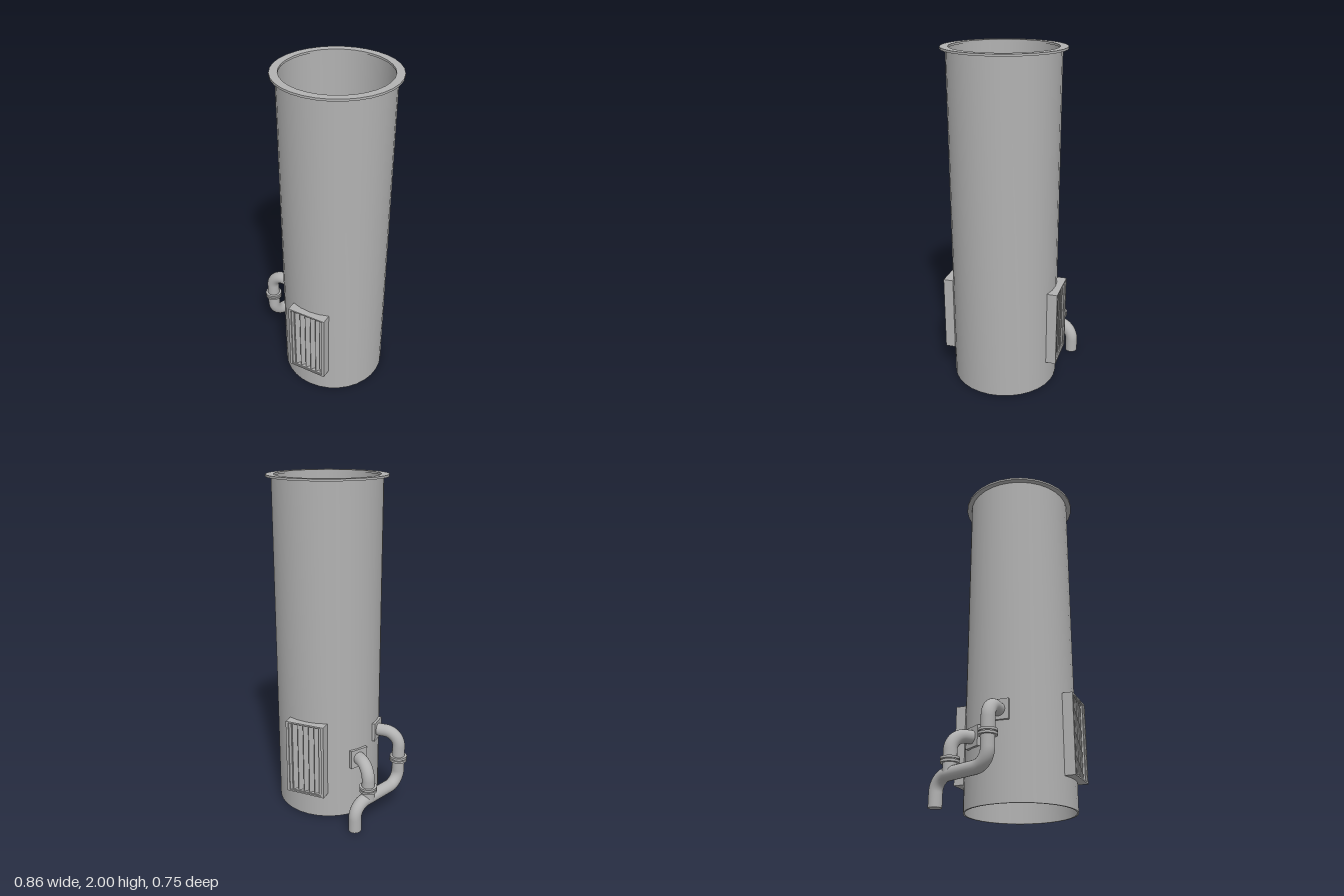
import * as THREE from 'three';
import { toCreasedNormals } from 'three/addons/utils/BufferGeometryUtils.js';

const CX = 0.085, CZ = 0.021; // axis of the column
const PIPE_R = 0.038;

export function createModel() {
  const root = new THREE.Group();
  root.name = 'ventilationColumn';
  const metal = new THREE.MeshStandardMaterial({ color: 0xb2b2b2 });
  metal.name = 'grey metal';

  const add = (parent, geometry, name, x = 0, y = 0, z = 0) => {
    const mesh = new THREE.Mesh(geometry, metal);
    mesh.name = name;
    mesh.position.set(x, y, z);
    parent.add(mesh);
    return mesh;
  };

  // Hollow ring with rectangular section
  const ring = (rIn, rOut, h, sides) => {
    const pts = [[rIn, 0], [rOut, 0], [rOut, h], [rIn, h], [rIn, 0]];
    const g = new THREE.LatheGeometry(pts.map(p => new THREE.Vector2(...p)), sides);
    return toCreasedNormals(g, 0.6);
  };

  // Rectangular frame, front face at z = depth
  const frame = (w, h, holeW, holeH, depth) => {
    const rect = (path, a, b) => {
      path.moveTo(-a / 2, -b / 2);
      path.lineTo(a / 2, -b / 2);
      path.lineTo(a / 2, b / 2);
      path.lineTo(-a / 2, b / 2);
      path.closePath();
      return path;
    };
    const shape = rect(new THREE.Shape(), w, h);
    shape.holes.push(rect(new THREE.Path(), holeW, holeH));
    return new THREE.ExtrudeGeometry(shape, { depth, bevelEnabled: false });
  };

  // Tube through the given points with circular bends
  const pipe = (points, bend) => {
    const pts = points.map(p => new THREE.Vector3(...p));
    const path = new THREE.CurvePath();
    let last = pts[0];
    for (let i = 1; i < pts.length - 1; i++) {
      const c = pts[i];
      const toward = (p, d) => c.clone().addScaledVector(p.clone().sub(c).normalize(), d);
      const a = toward(pts[i - 1], bend), b = toward(pts[i + 1], bend);
      path.add(new THREE.LineCurve3(last, a));
      path.add(new THREE.CubicBezierCurve3(a, toward(pts[i - 1], bend * 0.45), toward(pts[i + 1], bend * 0.45), b));
      last = b;
    }
    path.add(new THREE.LineCurve3(last, pts[pts.length - 1]));
    return new THREE.TubeGeometry(path, 110, PIPE_R, 20, false);
  };

  // Column wall and top rim
  add(root, ring(0.306, 0.315, 1.99, 32), 'columnWall', CX, 0, CZ);
  add(root, ring(0.3, 0.345, 0.012, 32), 'topRim', CX, 1.988, CZ);

  // Louvred vents, front and back
  for (const [name, turn] of [['frontVent', 0], ['backVent', Math.PI]]) {
    const vent = new THREE.Group();
    vent.name = name;
    vent.position.set(CX, 0.389, CZ);
    vent.rotation.y = turn;
    add(vent, frame(0.24, 0.46, 0.208, 0.442, 0.06), 'ventOuterFrame', 0, 0, 0.293);
    add(vent, frame(0.21, 0.444, 0.175, 0.434, 0.052), 'ventInnerFrame', 0, 0, 0.294);
    add(vent, new THREE.BoxGeometry(0.21, 0.444, 0.008), 'ventBackPlate', 0, 0, 0.297);
    for (let i = 0; i < 5; i++) {
      const slat = add(vent, new THREE.BoxGeometry(0.043, 0.434, 0.006), 'ventSlat', (i - 2) * 0.035, 0, 0.325);
      slat.rotation.y = 0.87;
    }
    root.add(vent);
  }

  // Long pipe: out of the wall, down, along the column, down to the ground
  const A = [-0.377, 0.021], end = [-0.236, -0.335];
  add(root, pipe([
    [-0.226, 0.495, A[1]], [A[0], 0.495, A[1]], [A[0], 0.165, A[1]],
    [end[0], 0.165, end[1]], [end[0], 0, end[1]],
  ], 0.085), 'longPipe');
  const cap = add(root, new THREE.CircleGeometry(PIPE_R, 20), 'pipeEnd', end[0], 0, end[1]);
  cap.rotation.x = Math.PI / 2;

  // Branch pipe: out of the wall and down into the long pipe
  const B = [-0.279, -0.237], wallB = [-0.178, -0.148];
  add(root, pipe([
    [wallB[0], 0.375, wallB[1]], [B[0], 0.375, B[1]], [B[0], 0.165, B[1]],
  ], 0.085), 'branchPipe');

  // Paired coupling discs
  for (const [[x, z], y] of [[A, 0.329], [B, 0.234]]) {
    for (const s of [-1, 1]) {
      add(root, new THREE.CylinderGeometry(0.052, 0.052, 0.013, 24), 'couplingDisc', x, y + s * 0.0095, z);
    }
    add(root, new THREE.CylinderGeometry(0.045, 0.045, 0.01, 24), 'couplingGasket', x, y, z);
  }

  // Square wall plates where the pipes enter
  for (const [x, z, y] of [[-0.23, A[1], 0.495], [wallB[0], wallB[1], 0.375]]) {
    const angle = Math.atan2(x - CX, z - CZ);
    const r = 0.318;
    const plate = add(root, new THREE.BoxGeometry(0.115, 0.115, 0.02), 'wallPlate',
      CX + Math.sin(angle) * r, y, CZ + Math.cos(angle) * r);
    plate.rotation.y = angle;
  }

  return root;
}
